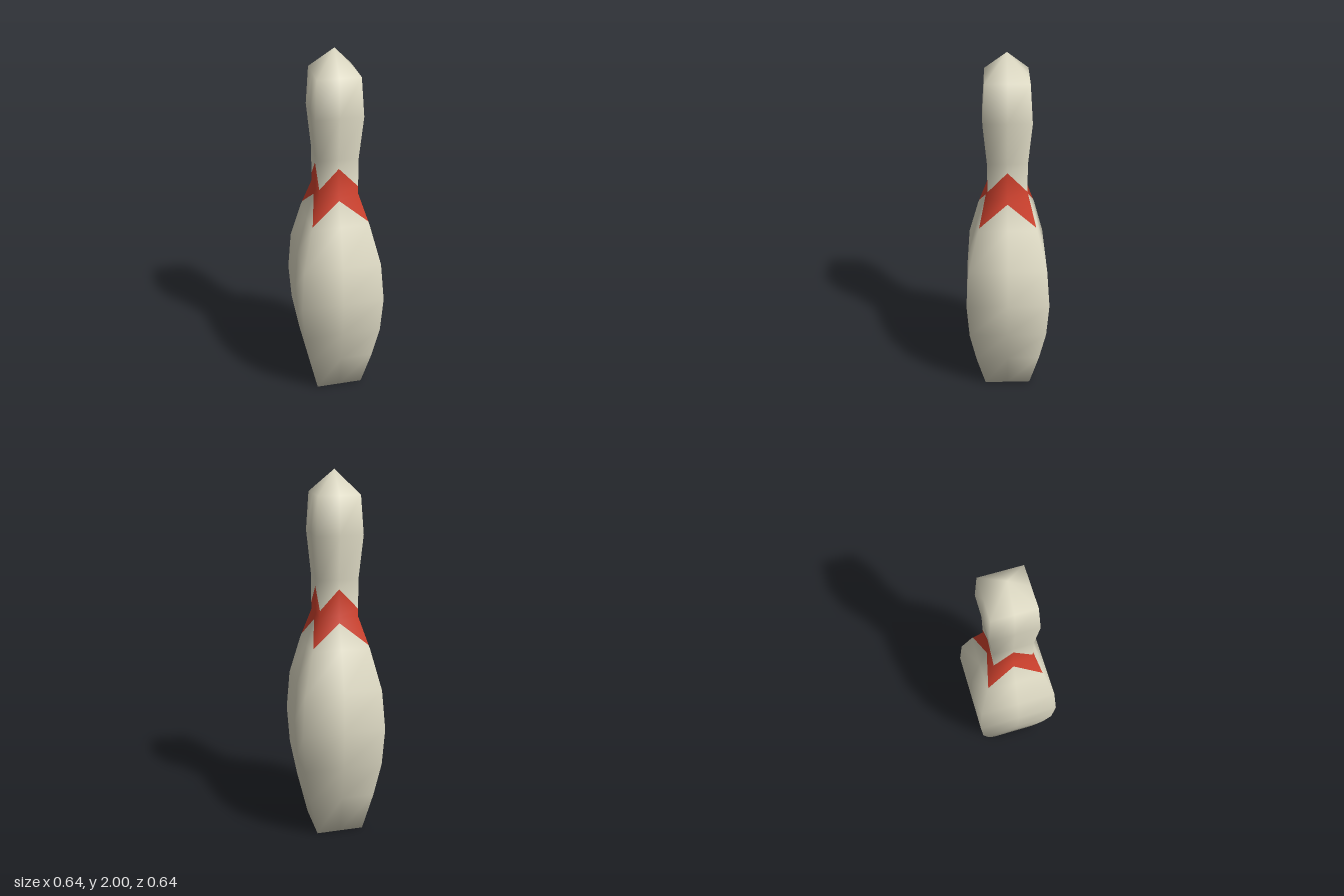
import * as THREE from 'three';

// Corner radius and height of each square ring, base to tip
const profile = [
  [0.185, 0], [0.255, 0.23], [0.303, 0.43], [0.32, 0.64], [0.296, 0.86], [0.22, 1.08],
  [0.145, 1.25], [0.146, 1.45], [0.174, 1.68], [0.156, 1.88], [0, 2],
].map(([r, y]) => new THREE.Vector2(r, y));

// Smooth outline normals: mean of the neighbouring segments, base and tip included
const segNormal = (a, b) => new THREE.Vector2(b.y - a.y, a.x - b.x).normalize();
const normals = profile.map((p, i) => {
  const below = i ? segNormal(profile[i - 1], p) : new THREE.Vector2(0, -1);
  const above = i < profile.length - 1 ? segNormal(p, profile[i + 1]) : new THREE.Vector2(0, 1);
  return i === profile.length - 1 ? above : below.add(above).normalize();
});

// Outline radius and normal at any height
function outlineAt(y) {
  let i = 0;
  while (i < profile.length - 2 && y > profile[i + 1].y) i++;
  const t = (y - profile[i].y) / (profile[i + 1].y - profile[i].y);
  return {
    r: THREE.MathUtils.lerp(profile[i].x, profile[i + 1].x, t),
    n: normals[i].clone().lerp(normals[i + 1], t),
  };
}

// Four-sided skin through rows of [height at corners, height at face middles]
function skin(rows) {
  const pos = [], nor = [], index = [];
  rows.forEach((row, i) => {
    for (let j = 0; j <= 8; j++) {
      const y = row[j % 2], { r, n } = outlineAt(y);
      const a = j * Math.PI / 4, s = j % 2 ? Math.SQRT1_2 : 1;
      pos.push(r * s * Math.sin(a), y, r * s * Math.cos(a));
      const v = new THREE.Vector3(n.x * s * Math.sin(a), n.y, n.x * s * Math.cos(a)).normalize();
      nor.push(v.x, v.y, v.z);
      if (i && j) {
        const d = i * 9 + j, c = d - 1, b = d - 9, e = b - 1;
        index.push(e, b, d, e, d, c);
      }
    }
  });
  const g = new THREE.BufferGeometry();
  g.setAttribute('position', new THREE.Float32BufferAttribute(pos, 3));
  g.setAttribute('normal', new THREE.Float32BufferAttribute(nor, 3));
  g.setIndex(index);
  return g;
}

export function createModel() {
  const model = new THREE.Group();
  model.name = 'bowlingPin';
  const cream = new THREE.MeshStandardMaterial({ color: 0xe0dcc6 });
  cream.name = 'cream';
  const red = new THREE.MeshStandardMaterial({ color: 0xd1422e });
  red.name = 'red';
  const add = (name, geometry, material) => {
    const mesh = new THREE.Mesh(geometry, material);
    mesh.name = name;
    model.add(mesh);
    return mesh;
  };

  // Zigzag edges of the neck stripe
  const stripeBottom = [1.1, 1.22], stripeTop = [1.29, 1.4];
  const ring = (p) => [p.y, p.y];

  add('belly', skin([...profile.slice(0, 6).map(ring), stripeBottom]), cream);
  add('neckStripe', skin([stripeBottom, ring(profile[6]), stripeTop]), red);
  add('head', skin([stripeTop, ...profile.slice(7).map(ring)]), cream);

  // Flat underside, corners on the axes
  const base = add('base', new THREE.CircleGeometry(profile[0].x, 4), cream);
  base.rotation.x = Math.PI / 2;
  return model;
}
